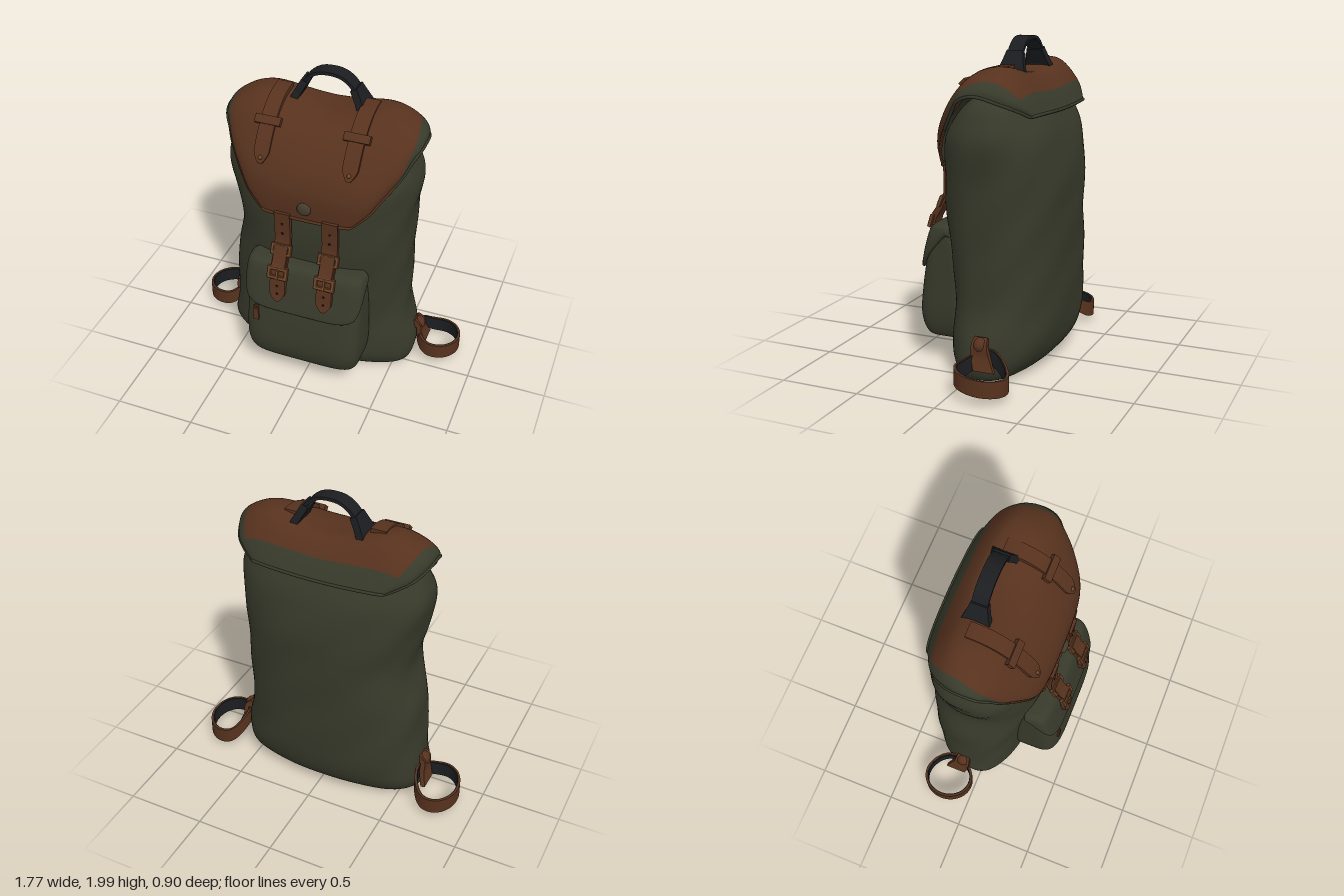
import * as THREE from 'three';
import { toCreasedNormals } from 'three/addons/utils/BufferGeometryUtils.js';

const V = (x, y, z) => new THREE.Vector3(x, y, z);
const mat = (name, color) => Object.assign(new THREE.MeshStandardMaterial({ color }), { name });
const clamp01 = t => Math.min(1, Math.max(0, t));

// Catmull-Rom interpolation of whole rows of numbers, t in row units
function spline(rows, t) {
  const last = rows.length - 1, i = Math.min(Math.floor(t), last - 1), f = t - i;
  const at = k => rows[Math.max(0, Math.min(last, k))];
  const [a, b, c, d] = [at(i - 1), at(i), at(i + 1), at(i + 2)];
  return b.map((_, k) => 0.5 * (2 * b[k] + (c[k] - a[k]) * f +
    (2 * a[k] - 5 * b[k] + 4 * c[k] - d[k]) * f * f + (3 * b[k] - a[k] - 3 * c[k] + d[k]) * f ** 3));
}

function makeGeometry(pos, idx) {
  const g = new THREE.BufferGeometry();
  g.setAttribute('position', new THREE.Float32BufferAttribute(pos, 3));
  g.setIndex(idx);
  g.computeVertexNormals();
  return g;
}

// Stack of superellipse sections; rows are [y, half width -x, half width +x, back z, front z]
function loft(rows, zc, power, warp = p => p) {
  const n = 80, m = (rows.length - 1) * 6, pos = [], idx = [];
  const root = c => Math.sign(c) * Math.abs(c) ** (2 / power);
  for (let i = 0; i <= m; i++) {
    const [y, xn, xp, zb, zf] = spline(rows, i / 6);
    for (let j = 0; j < n; j++) {
      const a = j / n * Math.PI * 2, c = root(Math.cos(a)), s = root(Math.sin(a));
      const p = warp(V(c * (c > 0 ? xp : xn), y, zc + s * (s > 0 ? zf - zc : zc - zb)), a);
      pos.push(p.x, p.y, p.z);
    }
  }
  for (let i = 0; i < m; i++) for (let j = 0; j < n; j++) {
    const a = i * n + j, b = i * n + (j + 1) % n;
    idx.push(a, a + n, b, b, a + n, b + n);
  }
  const base = (m + 1) * n;
  for (const [r, c] of [[0, 0], [m, 1]]) {
    const [y, , , zb, zf] = rows[c ? rows.length - 1 : 0];
    pos.push(0, y, (zb + zf) / 2);
    for (let j = 0; j < n; j++) {
      const a = r * n + j, b = r * n + (j + 1) % n;
      idx.push(base + c, ...(c ? [b, a] : [a, b]));
    }
  }
  return makeGeometry(pos, idx);
}

// Flat strap swept along points; side is the direction of its width
function ribbon(pts, side, width, th, steps = 28) {
  const curve = new THREE.CatmullRomCurve3(pts), pos = [], idx = [];
  const w = typeof width === 'function' ? width : () => width;
  for (let i = 0; i <= steps; i++) {
    const t = i / steps, p = curve.getPoint(t);
    const n = curve.getTangent(t).cross(side).normalize();
    for (const [s, k] of [[-1, -1], [1, -1], [1, 1], [-1, 1]]) {
      const q = p.clone().addScaledVector(side, s * w(t) / 2).addScaledVector(n, k * th / 2);
      pos.push(q.x, q.y, q.z);
    }
  }
  for (let i = 0; i < steps; i++) for (let j = 0; j < 4; j++) {
    const a = i * 4 + j, b = i * 4 + (j + 1) % 4;
    idx.push(a, b, a + 4, b, b + 4, a + 4);
  }
  const e = steps * 4;
  idx.push(0, 3, 2, 0, 2, 1, e, e + 1, e + 2, e, e + 2, e + 3);
  return toCreasedNormals(makeGeometry(pos, idx), 0.7);
}
const pointed = (w, from) => t => t < from ? w : w * (1 - 0.75 * ((t - from) / (1 - from)) ** 1.5);

// Lid sheet, back to front: [centre y, centre z, edge x, edge y, edge z]
const lidRows = [
  [1.58, -0.385, 0.42, 1.57, -0.335], [1.69, -0.32, 0.53, 1.61, -0.27], [1.775, -0.23, 0.59, 1.645, -0.17],
  [1.785, -0.13, 0.61, 1.67, -0.07], [1.775, 0.0, 0.6, 1.65, 0.03], [1.73, 0.115, 0.565, 1.605, 0.08],
  [1.635, 0.213, 0.52, 1.525, 0.14], [1.51, 0.292, 0.44, 1.42, 0.215], [1.38, 0.322, 0.37, 1.32, 0.26],
  [1.225, 0.312, 0.28, 1.235, 0.29]];
function lidPoint(v, { u, x }) {
  const [cy, cz, ex, ey, ez] = spline(lidRows, v);
  const s = x === undefined ? Math.sin(u * Math.PI / 2) : x / ex;
  const c = Math.max(0, 1 - s * s) ** 0.35, px = s * ex;
  const bump = 0.08 * Math.exp(-(((Math.abs(px) - 0.4) / 0.22) ** 2) - ((v - 3) / 2) ** 2);
  return V(px, ey + (cy - ey) * c + bump, ez + (cz - ez) * c);
}

function lidGeometry() {
  const nu = 48, nv = 45, pos = [], leather = [], trim = [];
  for (let i = 0; i <= nv; i++) for (let j = 0; j <= nu; j++) {
    const v = i / nv * 9, s = j / nu * 2 - 1, k = Math.abs(s);
    const b = 0.72 + 0.28 * clamp01((v - 3) / 3.4);
    const u = Math.sign(s) * (k <= 0.75 ? k / 0.75 * b : b + (k - 0.75) * 4 * (1 - b));
    pos.push(...lidPoint(v, { u }).toArray());
  }
  for (let i = 0; i < nv; i++) for (let j = 0; j < nu; j++) {
    const a = i * (nu + 1) + j, n = nu + 1;
    const isTrim = i < 5 || (i < 32 && Math.abs((j + 0.5) / nu * 2 - 1) > 0.75);
    (isTrim ? trim : leather).push(a, a + n, a + 1, a + 1, a + n, a + n + 1);
  }
  const g = makeGeometry(pos, [...leather, ...trim]);
  g.addGroup(0, leather.length, 0);
  g.addGroup(leather.length, trim.length, 1);
  return g;
}

// Rectangular buckle frame
function frameGeometry(w, h, bar) {
  const rect = (S, a, b) => new S([[-a, -b], [a, -b], [a, b], [-a, b]].map(p => new THREE.Vector2(...p)));
  const shape = rect(THREE.Shape, w / 2, h / 2);
  shape.holes.push(rect(THREE.Path, w / 2 - bar, h / 2 - bar));
  return new THREE.ExtrudeGeometry(shape, { depth: 0.018, bevelEnabled: true, bevelSize: 0.004, bevelThickness: 0.004, bevelSegments: 1 });
}

export function createModel() {
  const root = new THREE.Group();
  const canvas = mat('olive canvas', 0x383a2b), leather = mat('brown leather', 0x57321e);
  const black = mat('black webbing', 0x1b1d20), metal = mat('aged brass', 0x6d4529);
  const stud = mat('dull stud', 0x463c2e), dark = mat('dark holes', 0x20150e);
  const lining = mat('lid lining', 0x34362a);
  lining.side = THREE.BackSide;
  const add = (name, geo, m, x = 0, y = 0, z = 0, rx = 0) => {
    const mesh = new THREE.Mesh(geo, m);
    mesh.name = name;
    mesh.position.set(x, y, z);
    mesh.rotation.x = rx;
    root.add(mesh);
    return mesh;
  };
  const X = V(1, 0, 0), Y = V(0, 1, 0), Z = V(0, 0, 1);

  // Soft main sack with slight folds
  add('body', loft([
    [0.01, 0.5, 0.5, -0.2, 0.1], [0.03, 0.6, 0.58, -0.29, 0.16], [0.12, 0.635, 0.61, -0.375, 0.21],
    [0.25, 0.62, 0.605, -0.42, 0.215], [0.45, 0.605, 0.56, -0.435, 0.215], [0.7, 0.59, 0.555, -0.44, 0.24],
    [0.97, 0.53, 0.56, -0.447, 0.28], [1.2, 0.565, 0.57, -0.447, 0.285], [1.42, 0.605, 0.595, -0.412, 0.265],
    [1.55, 0.57, 0.565, -0.362, 0.2], [1.64, 0.52, 0.52, -0.31, 0.11], [1.7, 0.44, 0.44, -0.25, 0.02],
    [1.72, 0.3, 0.3, -0.2, -0.05]], -0.06, 2.45, (p, a) => {
    const k = 1 + 0.012 * Math.sin(5 * a + 9 * p.y) * Math.sin(7 * p.y + 2 * a);
    return p.set(p.x * k, p.y, p.z * k);
  }), canvas);

  // Lid with lining and rolled edge
  const lid = lidGeometry();
  add('lid', lid, [leather, canvas]);
  add('lidLining', lid, [lining, lining]);
  const steps = (a, b, n, f) => Array.from({ length: n + 1 }, (_, i) => f(a + (b - a) * i / n));
  const rim = (name, from, to, m) => add(name, new THREE.TubeGeometry(new THREE.CatmullRomCurve3([
    ...steps(from, to, 10, v => lidPoint(v, { u: -1 })),
    ...steps(-0.85, 0.85, 12, u => lidPoint(to, { u })),
    ...steps(to, from, 10, v => lidPoint(v, { u: 1 }))]), 120, 0.01, 6), m);
  rim('lidBackEdge', 6.4, 0, canvas);
  rim('lidFrontEdge', 6.4, 9, leather);
  add('lidStud', new THREE.SphereGeometry(0.043, 24, 16), stud, 0, 1.315, 0.325).scale.z = 0.5;

  // Front pocket and its flap, whose sides sweep up towards the back
  add('pocket', loft([
    [0.16, 0.28, 0.28, 0.12, 0.34], [0.18, 0.345, 0.345, 0.12, 0.41], [0.3, 0.375, 0.375, 0.12, 0.45],
    [0.5, 0.375, 0.375, 0.12, 0.432], [0.7, 0.37, 0.37, 0.15, 0.395], [0.83, 0.36, 0.36, 0.2, 0.36],
    [0.87, 0.33, 0.33, 0.2, 0.32]], 0.25, 5), canvas);
  add('pocketFlap', loft([
    [0.58, 0.372, 0.372, 0.2, 0.425], [0.59, 0.381, 0.381, 0.2, 0.438], [0.7, 0.381, 0.381, 0.2, 0.412],
    [0.82, 0.373, 0.373, 0.2, 0.378], [0.87, 0.362, 0.362, 0.2, 0.35], [0.885, 0.33, 0.33, 0.2, 0.31]],
  0.26, 5, p => {
    const low = Math.max(0, (0.87 - p.y) / 0.29);
    p.y += low * (0.07 * Math.min(1, Math.abs(p.x) / 0.38) ** 7 + 0.18 * clamp01((0.4 - p.z) / 0.16));
    return p;
  }), canvas);
  add('zipRing', new THREE.TorusGeometry(0.013, 0.005, 6, 12), metal, -0.285, 0.565, 0.43);
  add('zipPull', new THREE.BoxGeometry(0.034, 0.09, 0.014), leather, -0.285, 0.51, 0.434);

  for (const s of [-1, 1]) {
    // Lid straps with keepers
    const lx = 0.272 * s - 0.02;
    const onLid = (a, b) => steps(a, b, 10, v => lidPoint(v, { x: lx }));
    add('lidStrap', ribbon(onLid(2.8, 6.75), X, pointed(0.095, 0.88), 0.035), leather);
    add('lidStrapKeeper', ribbon(onLid(4.9, 5.25), X, 0.158, 0.056, 8), leather);
    const tip = lidPoint(6.55, { x: lx });
    add('strapRivet', new THREE.SphereGeometry(0.013, 12, 8), metal, lx, tip.y + 0.012, tip.z + 0.012);

    // Closing straps with buckles and holes
    const cx = 0.15 * s + 0.01;
    add('closingStrap', ribbon([[1.25, 0.315], [1.15, 0.31], [1.04, 0.313], [0.96, 0.345], [0.88, 0.392],
      [0.8, 0.408], [0.72, 0.42], [0.66, 0.432]].map(([y, z]) => V(cx, y, z)), X, pointed(0.098, 0.86), 0.028), leather);
    add('upperStrapLayer', ribbon([V(cx, 1.02, 0.335), V(cx, 0.94, 0.372), V(cx, 0.9, 0.4)], X, 0.085, 0.025, 8), leather);
    add('upperBuckle', frameGeometry(0.125, 0.065, 0.014), metal, cx, 0.99, 0.335, -0.4);
    add('lowerBuckle', frameGeometry(0.125, 0.075, 0.016), metal, cx, 0.86, 0.402, -0.3);
    add('bucklePin', new THREE.BoxGeometry(0.012, 0.07, 0.012), metal, cx, 0.86, 0.424, -0.3);
    for (const [y, z] of [[1.17, 0.326], [1.1, 0.325], [0.77, 0.427], [0.715, 0.435]])
      add('strapHole', new THREE.CylinderGeometry(0.008, 0.008, 0.006, 10), dark, cx, y, z, Math.PI / 2);

    // Side strap loops, leather outside and webbing inside
    const loop = k => steps(0, Math.PI * 2, 32, a => {
      const near = Math.max(0, Math.cos(a));
      return V(s * (0.745 - 0.135 * k * Math.cos(a)), 0.115 + 0.08 * near ** 3 + 0.02 * Math.sin(a),
        -0.17 + 0.155 * k * Math.sin(a));
    });
    add('sideLoop', ribbon(loop(1), Y, 0.1, 0.012, 64), leather);
    add('sideLoopLining', ribbon(loop(0.94), Y, 0.096, 0.008, 64), black);
    add('sideTab', ribbon([V(s * 0.6, 0.3, -0.11), V(s * 0.635, 0.27, -0.11), V(s * 0.64, 0.2, -0.12),
      V(s * 0.665, 0.12, -0.15)], Z, t => 0.08 + 0.05 * t, 0.03, 12), leather);
    add('sideTabKnob', new THREE.SphereGeometry(0.045, 16, 12), leather, s * 0.62, 0.265, -0.11);

    // Flared handle anchors
    add('handleAnchor', ribbon([V(s * 0.21, 1.8, -0.13), V(s * 0.185, 1.85, -0.13), V(s * 0.15, 1.915, -0.13)],
      Z, t => 0.17 - 0.07 * t, 0.045, 8), black);
  }

  // Carrying handle
  add('handle', ribbon([[-0.19, 1.8], [-0.175, 1.87], [-0.13, 1.94], [-0.07, 1.98], [0, 1.99], [0.07, 1.98],
    [0.13, 1.94], [0.175, 1.87], [0.19, 1.8]].map(([x, y]) => V(x, y, -0.13)), Z, 0.095, 0.02, 40), black);
  return root;
}
